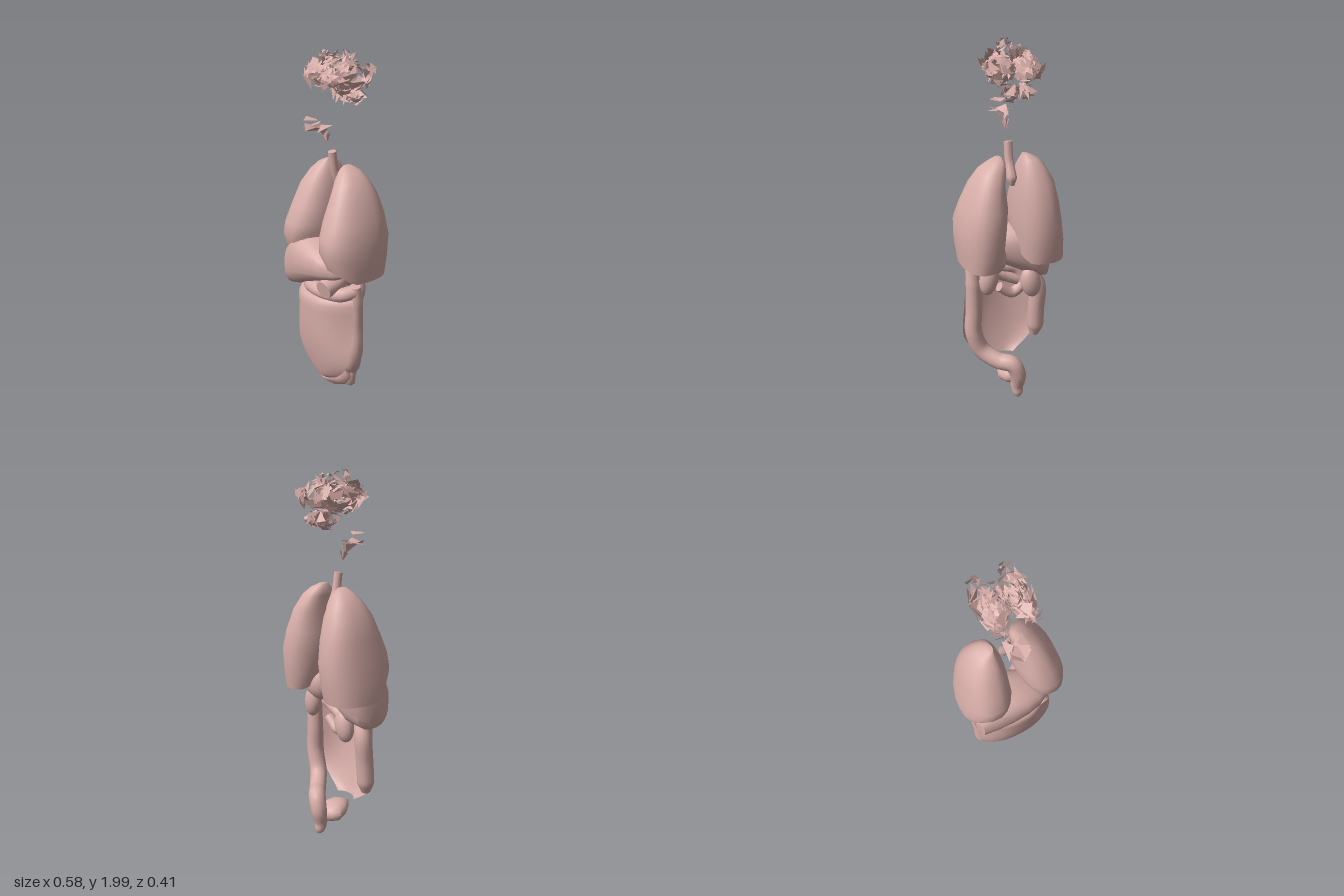
import * as THREE from 'three';
import { toCreasedNormals } from 'three/addons/utils/BufferGeometryUtils.js';

const material = new THREE.MeshStandardMaterial({ color: 0xd8aea9, side: THREE.DoubleSide });
const V = (p) => new THREE.Vector3(...p);
const clamp = THREE.MathUtils.clamp;

function add(parent, name, geometry) {
  const mesh = new THREE.Mesh(geometry, material);
  mesh.name = name;
  parent.add(mesh);
  return mesh;
}

function indexed(pos, index) {
  const g = new THREE.BufferGeometry();
  g.setAttribute('position', new THREE.Float32BufferAttribute(pos, 3));
  g.setIndex(index);
  return toCreasedNormals(g, 0.8);
}

function triangles(pos) {
  const g = new THREE.BufferGeometry();
  g.setAttribute('position', new THREE.Float32BufferAttribute(pos, 3));
  g.computeVertexNormals();
  return g;
}

// Closed body through sections [t, u0, u1, v0, v1]; place(u, t, v) gives the point
function loft(sections, place, { sides = 22, power = 2.4, dent = 0 } = {}) {
  const pos = [], index = [], last = sections.length - 1;
  const bend = (c) => Math.sign(c) * Math.abs(c) ** (2 / power);
  for (const [t, u0, u1, v0, v1] of sections) {
    for (let i = 0; i < sides; i++) {
      const a = (i / sides) * Math.PI * 2;
      pos.push(...place((u0 + u1) / 2 + bend(Math.cos(a)) * (u1 - u0) / 2, t,
        (v0 + v1) / 2 + bend(Math.sin(a)) * (v1 - v0) / 2));
    }
  }
  for (const k of [0, last]) {
    const [t, u0, u1, v0, v1] = sections[k];
    const c = place((u0 + u1) / 2, t, (v0 + v1) / 2);
    if (k === 0) c[1] += dent;
    pos.push(...c);
  }
  const n = sections.length * sides;
  for (let i = 0; i < sides; i++) {
    const j = (i + 1) % sides;
    for (let r = 0; r < last; r++) {
      const a = r * sides + i, b = r * sides + j;
      index.push(a, a + sides, b, b, a + sides, b + sides);
    }
    index.push(n, i, j, n + 1, last * sides + j, last * sides + i);
  }
  return indexed(pos, index);
}

// Tube along points [x, y, z, radius], with closed ends
function vessel(parent, name, points) {
  const curve = new THREE.CatmullRomCurve3(points.map(V));
  const segs = points.length * 6, sides = 14;
  const frames = curve.computeFrenetFrames(segs, false);
  const pos = [], index = [];
  for (let i = 0; i <= segs; i++) {
    const t = i / segs, c = curve.getPointAt(t);
    const f = curve.getUtoTmapping(t) * (points.length - 1);
    const k = Math.min(Math.floor(f), points.length - 2);
    const r = THREE.MathUtils.lerp(points[k][3], points[k + 1][3], f - k);
    for (let j = 0; j < sides; j++) {
      const a = (j / sides) * Math.PI * 2;
      const p = c.clone().addScaledVector(frames.normals[i], Math.cos(a) * r)
        .addScaledVector(frames.binormals[i], Math.sin(a) * r);
      pos.push(p.x, p.y, p.z);
      const b = i * sides + j, d = i * sides + (j + 1) % sides;
      if (i < segs) index.push(b, d, b + sides, d, d + sides, b + sides);
    }
  }
  for (let j = 1; j < sides - 1; j++) {
    const e = segs * sides;
    index.push(0, j + 1, j, e, e + j, e + j + 1);
  }
  add(parent, name, indexed(pos, index));
}

function ellipsoid(parent, name, centre, radii, tilt) {
  const mesh = add(parent, name, new THREE.SphereGeometry(1, 18, 12));
  mesh.position.set(...centre);
  mesh.scale.set(...radii);
  mesh.rotation.z = tilt;
}

// Lung: the base rim rises towards the midline and the front
function lung(parent, name, sections) {
  const place = (x, y, z) => {
    const fade = clamp((1.12 - y) / 0.28, 0, 1);
    const inner = clamp((0.29 - Math.abs(x)) / 0.25, 0, 1) * clamp((z + 0.14) / 0.26, 0, 1);
    const lift = Math.max(0.14 * inner, 0.09 * clamp((z - 0.06) / 0.12, 0, 1));
    return [x, y + lift * fade, z];
  };
  add(parent, name, loft(sections, place, { dent: 0.1 }));
}

// Small seeded generator for the shards
function seeded(seed) {
  return () => (seed = (seed * 16807) % 2147483647) / 2147483647;
}

// Mirrored loose slivers, mostly lengthwise, scattered around an ellipsoid
function shards(count, centre, radii, size, seed) {
  const rnd = seeded(seed), pos = [];
  const spread = (s) => (rnd() - 0.5) * 2 * s;
  for (let i = 0; i < count; i++) {
    const h = spread(1), a = rnd() * Math.PI * 2, w = Math.sqrt(1 - h * h);
    const n = new THREE.Vector3(w * Math.cos(a), w * Math.sin(a), h);
    const c = n.clone().multiply(V(radii)).multiplyScalar(0.6 + 0.4 * rnd()).add(V(centre));
    const side = new THREE.Vector3(spread(0.6), spread(0.7), 1).projectOnPlane(n).normalize();
    const up = n.clone().cross(side);
    const s = size * (0.4 + rnd()), slim = 0.25 + 0.35 * rnd();
    const tri = [[-0.8, -slim], [0.9, -0.2], [0.1, slim]].map(([p, q]) => {
      const v = c.clone().addScaledVector(side, p * s).addScaledVector(up, q * s)
        .addScaledVector(n, spread(s * 0.4));
      v.x = clamp(v.x, 0.003, 0.14);
      v.y = Math.min(v.y, 2);
      return v;
    });
    for (const m of [1, -1]) for (const v of tri) pos.push(v.x * m, v.y, v.z);
  }
  return triangles(pos);
}

export function createModel() {
  const model = new THREE.Group();

  // Brain: broken surface in two mirrored halves, plus the lower rear and crown
  const brain = new THREE.Group();
  brain.name = 'brain';
  model.add(brain);
  add(brain, 'brainHemispheres', shards(150, [0.072, 1.865, -0.03], [0.06, 0.08, 0.17], 0.04, 71));
  add(brain, 'brainCrown', shards(16, [0.025, 1.955, 0], [0.035, 0.045, 0.1], 0.03, 415));
  add(brain, 'cerebellum', shards(22, [0.04, 1.755, -0.09], [0.035, 0.045, 0.065], 0.042, 902));

  // Mouth and voice box fragments
  add(model, 'tongue', triangles([-1, 1].flatMap((m) => [
    [0, 1.61, 0.18], [m * 0.05, 1.635, 0.15], [m * 0.02, 1.6, 0.05],
    [m * 0.06, 1.61, 0.15], [m * 0.01, 1.63, 0.09], [m * 0.05, 1.63, 0.05],
    [m * 0.03, 1.62, 0.13], [m * 0.02, 1.62, 0.05], [0, 1.57, 0.07],
    [0, 1.665, 0.19], [m * 0.05, 1.67, 0.14], [0, 1.66, 0.11]]).flat()));
  add(model, 'larynx', triangles([-1, 1].flatMap((m) => [
    [0, 1.53, 0.045], [m * 0.02, 1.57, 0.065], [0, 1.585, 0.04],
    [0, 1.53, 0.045], [m * 0.018, 1.585, 0.04], [m * 0.02, 1.57, 0.065]]).flat()));

  // Airway, swelling where it divides
  vessel(model, 'trachea', [[0, 1.475, 0.017, 0.022], [0, 1.37, 0, 0.023], [0, 1.29, -0.03, 0.028], [0, 1.25, -0.035, 0.012]]);

  // Lungs
  lung(model, 'rightLung', [
    [0.83, -0.29, -0.03, -0.172, 0.165], [0.93, -0.287, -0.02, -0.19, 0.2], [1.04, -0.27, -0.014, -0.197, 0.195],
    [1.16, -0.25, -0.017, -0.182, 0.16], [1.27, -0.224, -0.025, -0.153, 0.112], [1.35, -0.178, -0.042, -0.115, 0.062],
    [1.39, -0.14, -0.055, -0.085, 0.025], [1.412, -0.095, -0.065, -0.05, 0]]);
  lung(model, 'leftLung', [
    [0.83, 0.09, 0.28, -0.172, 0.165], [0.93, 0.06, 0.29, -0.19, 0.2], [1.05, 0.05, 0.292, -0.197, 0.195],
    [1.16, 0.043, 0.267, -0.182, 0.16], [1.27, 0.055, 0.224, -0.153, 0.112], [1.35, 0.045, 0.178, -0.115, 0.062],
    [1.39, 0.045, 0.13, -0.085, 0.025], [1.412, 0.06, 0.09, -0.05, 0]]);

  // Liver: wedge across the body, sections along x
  add(model, 'liver', loft([
    [-0.242, 0.02, 0.13, 0.68, 0.86], [-0.225, -0.04, 0.18, 0.66, 0.93], [-0.15, -0.09, 0.2, 0.685, 1.01],
    [-0.06, -0.08, 0.212, 0.735, 1.01], [0.03, -0.05, 0.212, 0.78, 0.995], [0.11, -0.02, 0.195, 0.815, 0.965],
    [0.18, 0.02, 0.155, 0.84, 0.935], [0.215, 0.06, 0.11, 0.86, 0.9]], (z, x, y) => [x, y, z], { power: 2.7 }));

  // Stomach with its open outlet, spleen and kidneys
  ellipsoid(model, 'stomach', [0.12, 0.86, -0.01], [0.09, 0.11, 0.09], -0.4);
  vessel(model, 'stomachOutlet', [[0.1, 0.85, 0, 0.06], [0.12, 0.8, 0.08, 0.055], [0.135, 0.78, 0.17, 0.05]]);
  ellipsoid(model, 'spleen', [0.19, 0.92, -0.08], [0.05, 0.08, 0.06], 0.3);
  ellipsoid(model, 'leftKidney', [0.14, 0.745, -0.045], [0.052, 0.095, 0.045], 0.15);
  ellipsoid(model, 'rightKidney', [-0.115, 0.67, -0.035], [0.057, 0.092, 0.048], -0.2);

  // Duodenum and pancreas
  vessel(model, 'duodenum', [[0.05, 0.77, 0.03, 0.03], [-0.05, 0.74, 0.02, 0.03], [-0.08, 0.66, 0, 0.03], [-0.02, 0.61, 0, 0.03], [0.06, 0.66, 0, 0.027]]);
  vessel(model, 'pancreas', [[-0.05, 0.68, 0.01, 0.03], [0.04, 0.72, 0.01, 0.027], [0.14, 0.77, -0.02, 0.015]]);

  // Large bowel
  vessel(model, 'ascendingColon', [[-0.185, 0.28, 0.06, 0.025], [-0.19, 0.34, 0.055, 0.048], [-0.19, 0.46, 0.045, 0.048], [-0.19, 0.6, 0.03, 0.047], [-0.16, 0.68, 0.04, 0.042]]);
  vessel(model, 'transverseColon', [[-0.16, 0.68, 0.04, 0.042], [-0.05, 0.72, 0.115, 0.04], [0.08, 0.735, 0.125, 0.04], [0.18, 0.745, 0.08, 0.04], [0.21, 0.76, 0.02, 0.036]]);
  vessel(model, 'descendingColon', [[0.212, 0.79, 0.02, 0.03], [0.208, 0.7, 0.015, 0.042], [0.205, 0.55, 0.015, 0.045], [0.207, 0.4, 0.018, 0.048], [0.165, 0.285, 0.005, 0.048],
    [0.09, 0.23, -0.06, 0.047], [0.03, 0.22, -0.11, 0.048], [0, 0.15, -0.122, 0.045], [0, 0.07, -0.108, 0.036], [0, 0.025, -0.117, 0.028], [0, 0.008, -0.119, 0.012]]);

  // Apron in front of the bowel: curved sheet with a lip folded back on top
  const apron = new THREE.PlaneGeometry(2, 1, 16, 14);
  const rows = new THREE.CatmullRomCurve3([
    [0.07, 0.175, 0.11], [0.15, 0.23, 0.13], [0.228, 0.33, 0.155], [0.238, 0.46, 0.175],
    [0.232, 0.6, 0.183], [0.224, 0.69, 0.18], [0.205, 0.715, 0.13]].map(V));
  const p = apron.attributes.position;
  for (let i = 0; i < p.count; i++) {
    const s = p.getX(i), r = rows.getPoint(clamp(p.getY(i) + 0.5, 0, 1));
    const wrap = THREE.MathUtils.lerp(0.03, 0.13, clamp((r.y - 0.2) / 0.35, 0, 1));
    p.setXYZ(i, s * r.x + 0.01, r.y + 0.02 * s * clamp((r.y - 0.5) / 0.2, 0, 1), r.z - wrap * Math.abs(s) ** 2.6);
  }
  apron.computeVertexNormals();
  add(model, 'omentum', apron);

  // Bladder: pointed towards the front, sections from front to back
  add(model, 'bladder', loft([
    [0.085, -0.01, 0.01, 0.135, 0.15], [0.06, -0.04, 0.04, 0.11, 0.165], [0.02, -0.07, 0.07, 0.075, 0.178],
    [-0.03, -0.082, 0.082, 0.06, 0.172], [-0.07, -0.06, 0.06, 0.07, 0.15], [-0.09, -0.03, 0.03, 0.09, 0.13]],
  (x, z, y) => [x, y, z], { power: 2 }));

  return model;
}
